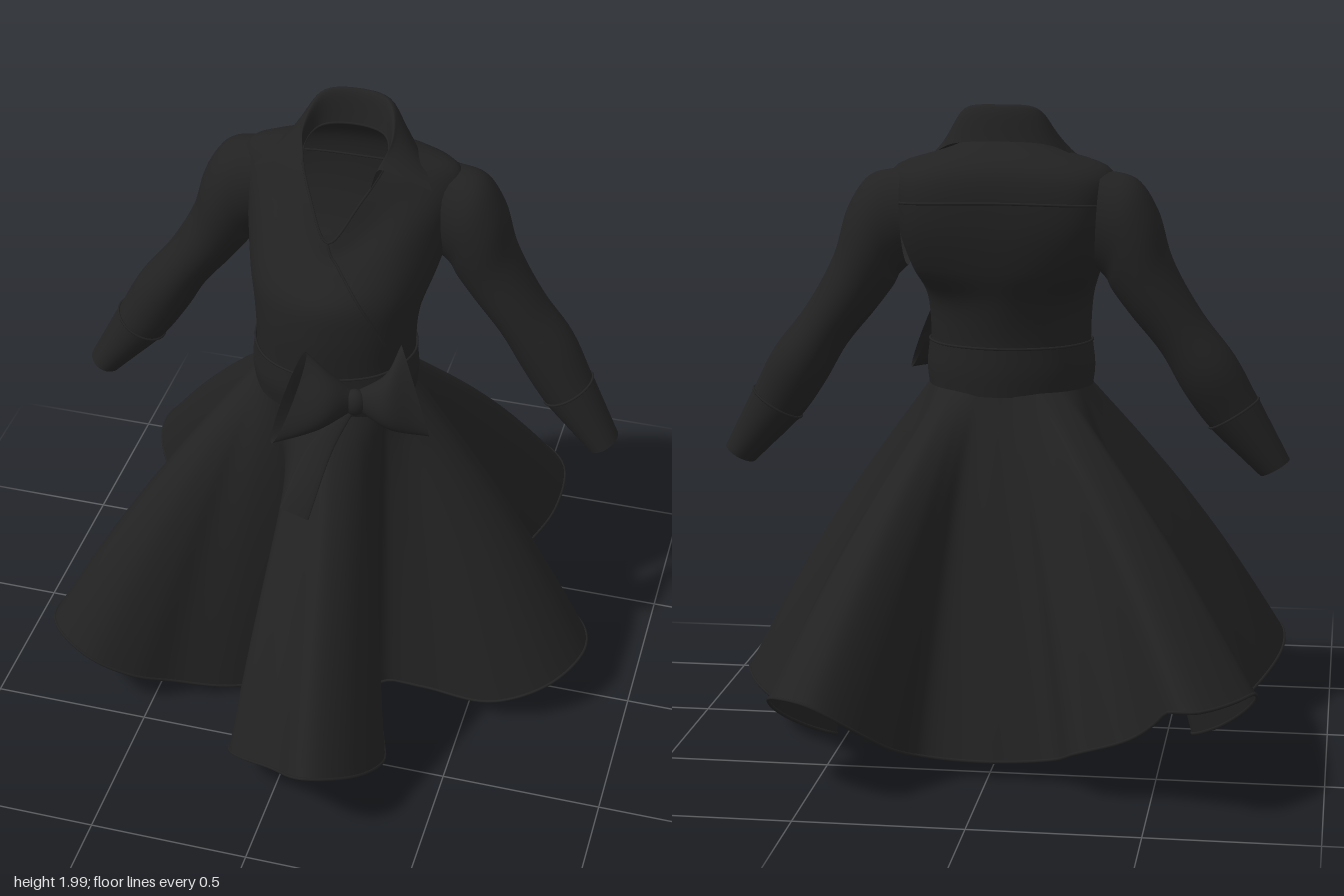
import * as THREE from 'three';

const V = (x, y, z) => new THREE.Vector3(x, y, z);
const black = new THREE.MeshStandardMaterial({ color: 0x222222, side: THREE.DoubleSide });
black.name = 'black cloth';

// Smooth skin through a list of rings (arrays of points with equal counts)
function loft(rings, closed = true, steps = 6) {
  const n = rings[0].length, rows = (rings.length - 1) * steps, pos = [], idx = [];
  const columns = rings[0].map((_, i) => new THREE.CatmullRomCurve3(rings.map(r => r[i])));
  for (let j = 0; j <= rows; j++)
    for (const c of columns) pos.push(...c.getPoint(j / rows).toArray());
  for (let j = 0; j < rows; j++)
    for (let i = 0; i < (closed ? n : n - 1); i++) {
      const a = j * n + i, b = j * n + (i + 1) % n;
      idx.push(a, b, b + n, a, b + n, a + n);
    }
  const g = new THREE.BufferGeometry();
  g.setAttribute('position', new THREE.Float32BufferAttribute(pos, 3));
  g.setIndex(idx);
  g.computeVertexNormals();
  return g;
}

// Ellipse around centre c with half axes a and b
function ring(c, a, b, n = 32) {
  return Array.from({ length: n }, (_, i) => {
    const t = (i / n) * Math.PI * 2;
    return V(...c).addScaledVector(V(...a), Math.cos(t)).addScaledVector(V(...b), Math.sin(t));
  });
}

// Half outline (front to back on +x) mirrored into a curve
function mirrored(half, closed) {
  const pts = half.map(p => V(...p));
  const other = half.map(([x, y, z]) => V(-x, y, z)).reverse();
  return closed
    ? new THREE.CatmullRomCurve3([...pts, ...other.slice(1, -1)], true)
    : new THREE.CatmullRomCurve3([...pts, ...other.slice(1)]);
}

// Level torso outline: height, half width, front z, back z
const level = (y, w, f, b) => [0, 1, 2, 3, 4].map(i => {
  const t = i * Math.PI / 4;
  return [w * Math.sin(t), y, (f + b) / 2 + (f - b) / 2 * Math.cos(t)];
});

const sample = (curve, n) => Array.from({ length: n }, (_, i) => curve.getPoint(i / n));

export function createModel() {
  const model = new THREE.Group();
  const add = (name, geo, parent = model) => {
    const m = new THREE.Mesh(geo, black);
    m.name = name;
    parent.add(m);
    return m;
  };
  const seam = (name, pts, closed = false, r = 0.004, parent = model) => add(name,
    new THREE.TubeGeometry(new THREE.CatmullRomCurve3(pts, closed), pts.length * 2, r, 6, closed), parent);

  // Skirt: folded hem outline (x, z), hung from the waist at constant cloth length
  const hemXZ = [
    [.15, .89], [.27, .8], [.33, .62], [.29, .45], [.23, .27], [.2, .13],
    [.35, .13], [.6, .2], [.76, .14], [.84, 0], [.82, -.13], [.73, -.25], [.58, -.33], [.48, -.45],
    [.54, -.54], [.61, -.66], [.61, -.79], [.47, -.89], [.34, -.82], [.27, -.7], [.2, -.58],
    [0, -.57], [-.2, -.6], [-.28, -.72], [-.44, -.75], [-.61, -.89], [-.69, -.84], [-.8, -.62],
    [-.7, -.45], [-.59, -.28], [-.68, -.13], [-.78, .05], [-.85, .25], [-.82, .41], [-.69, .48],
    [-.55, .45], [-.44, .38], [-.27, .31], [-.1, .2], [-.02, .14], [-.07, .3], [-.14, .71], [.02, .79]];
  const hemCurve = new THREE.CatmullRomCurve3(hemXZ.map(([x, z]) => V(x, 0, z)), true);
  const N = 320, waistY = 1.13, cloth = 1.115;
  const hem = hemCurve.getSpacedPoints(N).slice(0, N);
  const waist = hem.map((_, i) => {
    const t = i / N * Math.PI * 2 + 0.17;
    return V(.25 * Math.sin(t), waistY, -.03 + .21 * Math.cos(t));
  });
  hem.forEach((p, i) => {
    const d = Math.min(.79, Math.hypot(p.x - waist[i].x, p.z - waist[i].z));
    p.y = waistY - Math.sqrt(cloth * cloth - d * d);
  });
  const skirtRings = Array.from({ length: 9 }, (_, j) => {
    const t = j / 8, out = t + .055 * Math.sin(Math.PI * t);
    return hem.map((p, i) => {
      const q = waist[i].clone().lerp(p, out);
      q.y = THREE.MathUtils.lerp(waistY, p.y, t);
      return q;
    });
  });
  add('skirt', loft(skirtRings, true, 3));
  seam('skirtHem', hem.filter((_, i) => i % 2 === 0), true, .005);

  // Bodice with a V neckline
  const bodiceCurves = [
    level(1.10, .245, .17, -.24), level(1.2, .25, .19, -.25), level(1.28, .248, .197, -.258),
    level(1.4, .257, .2, -.29),
    [[0, 1.5, .185], [.2, 1.5, .1], [.288, 1.5, -.11], [.235, 1.5, -.28], [0, 1.5, -.33]],
    [[0, 1.57, .125], [.2, 1.62, .035], [.32, 1.63, -.18], [.265, 1.65, -.33], [0, 1.65, -.36]],
    [[0, 1.62, .083], [.195, 1.755, -.07], [.335, 1.795, -.22], [.25, 1.785, -.325], [0, 1.8, -.347]],
    [[0, 1.66, .065], [.075, 1.76, -.01], [.13, 1.86, -.13], [.1, 1.89, -.21], [0, 1.895, -.24]],
  ].map(h => mirrored(h, true));
  add('bodice', loft(bodiceCurves.map(c => sample(c, 72))));
  const onBodice = (u, v) =>
    new THREE.CatmullRomCurve3(bodiceCurves.map(c => c.getPoint((u + 1) % 1))).getPoint(v);
  const bodiceLine = (u0, v0, u1, v1, power = 1) => Array.from({ length: 17 }, (_, i) =>
    onBodice(THREE.MathUtils.lerp(u0, u1, i / 16), THREE.MathUtils.lerp(v0, v1, (i / 16) ** power)));
  seam('yokeSeam', bodiceLine(.3, .77, .7, .77));
  seam('wrapEdge', bodiceLine(0, .99, .14, .38, .6));
  seam('necklineEdge', sample(bodiceCurves[7], 40), true);

  // Waist sash
  const sash = [level(1.11, .254, .19, -.25), level(1.18, .261, .203, -.258), level(1.26, .253, .2, -.259)];
  add('sash', loft(sash.map(h => sample(mirrored(h, true), 64))));
  seam('sashTopEdge', sample(mirrored(sash[2], true), 32), true);

  // Collar: stand rises from the neck, then folds over to two points
  const collar = [
    [[.1, 1.8, -.04], [.13, 1.86, -.12], [.1, 1.89, -.21], [0, 1.895, -.24]],
    [[.115, 1.85, -.07], [.138, 1.92, -.16], [.1, 1.985, -.245], [0, 1.995, -.27]],
    [[.135, 1.85, -.075], [.147, 1.92, -.18], [.108, 1.98, -.262], [0, 1.99, -.288]],
    [[.275, 1.795, -.09], [.215, 1.84, -.2], [.14, 1.88, -.285], [0, 1.89, -.315]],
  ].map(h => mirrored(h, false).getPoints(40));
  add('collar', loft(collar, false));

  // Sleeves: outer edge x, y; inner edge x, y; centre z; half depth
  const sleeveRing = (s, [ox, oy, ix, iy, z, d], grow = 0) => {
    const k = 1 + grow;
    return ring([s * (ox + ix) / 2, (oy + iy) / 2, z],
      [s * (ox - ix) / 2 * k, (oy - iy) / 2 * k, 0], [0, 0, d * k]);
  };
  const arm = [
    [.3, 1.805, .285, 1.51, -.23, .118], [.4, 1.78, .315, 1.48, -.23, .126],
    [.465, 1.69, .33, 1.45, -.23, .127], [.512, 1.54, .39, 1.37, -.23, .117],
    [.602, 1.38, .48, 1.26, -.225, .108], [.702, 1.25, .55, 1.14, -.225, .105],
    [.772, 1.12, .63, 1.03, -.21, .086], [.868, .932, .783, .883, -.19, .06]];
  for (const s of [1, -1]) {
    const g = new THREE.Group();
    g.name = s > 0 ? 'leftSleeve' : 'rightSleeve';
    model.add(g);
    add('sleeve', loft(arm.map(r => sleeveRing(s, r))), g);
    add('cuff', loft([sleeveRing(s, arm[6], .02), sleeveRing(s, arm[7], .04)]), g);
    seam('cuffSeam', sleeveRing(s, arm[6], .02), true, .004, g);
  }

  // Bow on the sash: two puffed loops, a knot and two tails
  const bow = new THREE.Group();
  bow.name = 'bow';
  model.add(bow);
  add('bowLoop', loft([
    ring([.12, 1.22, .22], [0, .035, 0], [.01, 0, .025]),
    ring([.035, 1.235, .27], [.01, .08, -.045], [.035, .01, .04]),
    ring([-.05, 1.265, .32], [.03, .115, -.085], [.018, 0, .012])]), bow);
  add('bowLoop', loft([
    ring([.14, 1.22, .22], [0, .035, 0], [.01, 0, .025]),
    ring([.23, 1.225, .21], [-.015, .085, -.015], [.01, 0, .05]),
    ring([.3, 1.25, .165], [-.055, .13, -.04], [.015, 0, .03])]), bow);
  const knot = add('bowKnot', new THREE.SphereGeometry(.04, 20, 14), bow);
  knot.scale.set(.9, 1.1, .8);
  knot.position.set(.13, 1.22, .23);
  add('bowTail', loft([
    ring([.11, 1.19, .225], [.025, .01, 0], [0, .004, .006]),
    ring([.03, 1.05, .28], [.045, .01, 0], [0, .004, .008]),
    ring([-.015, .885, .395], [.045, -.015, 0], [0, .003, .004])]), bow);
  add('bowTail', loft([
    ring([.11, 1.19, .225], [.01, .025, 0], [0, .003, .006]),
    ring([.02, 1.14, .235], [.01, .03, 0], [0, .003, .008]),
    ring([-.06, 1.11, .24], [.015, .035, .01], [0, .002, .004])]), bow);

  return model;
}
